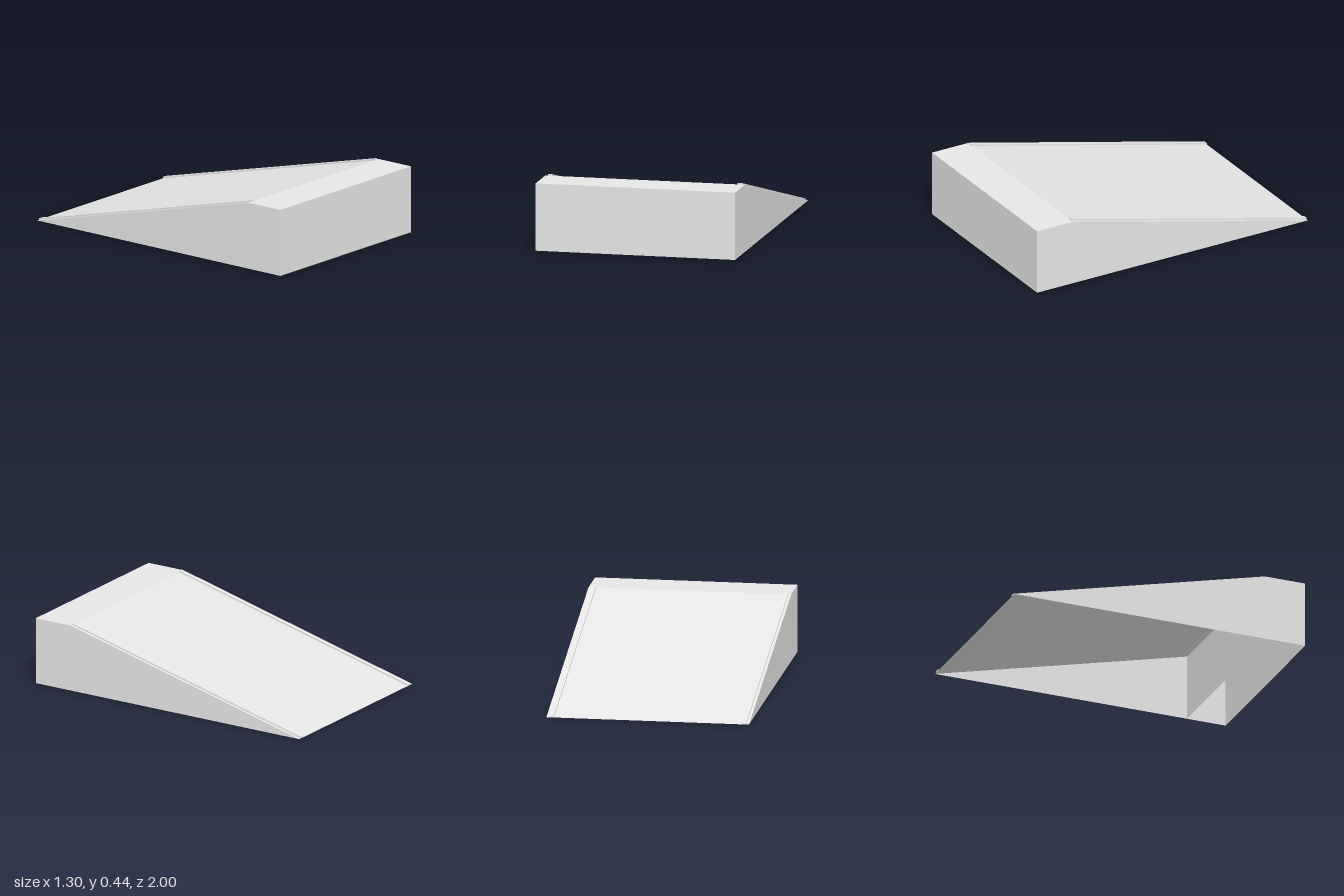
import * as THREE from 'three';

const HALF_W = 0.65, HEIGHT = 0.435, CREST_Z = 0.735;

export function createModel() {
  const model = new THREE.Group();
  model.name = 'ramp';

  const lightGrey = new THREE.MeshStandardMaterial({ color: 0xe6e6e6, side: THREE.DoubleSide });
  lightGrey.name = 'lightGrey';

  const add = (name, geometry) => {
    const mesh = new THREE.Mesh(geometry, lightGrey);
    mesh.name = name;
    model.add(mesh);
    return mesh;
  };

  // Full-width flat panel between two (z, y) points of the side profile
  const panel = (name, [z0, y0], [z1, y1]) => {
    const g = new THREE.BufferGeometry();
    g.setAttribute('position', new THREE.Float32BufferAttribute([
      -HALF_W, y0, z0, HALF_W, y0, z0, HALF_W, y1, z1, -HALF_W, y1, z1], 3));
    g.setIndex([0, 1, 2, 0, 2, 3]);
    g.computeVertexNormals();
    add(name, g);
  };

  // Hollow shell, open underneath, with an inner wall below the crest
  panel('frontWall', [1, 0], [1, HEIGHT]);
  panel('platform', [1, HEIGHT], [CREST_Z, HEIGHT]);
  panel('slope', [CREST_Z, HEIGHT], [-1, 0]);
  panel('innerWall', [CREST_Z, HEIGHT], [CREST_Z, 0]);
  model.getObjectByName('innerWall').geometry.computeVertexNormals();

  // Side profile: shape x becomes -z after turning by a quarter
  const profile = (points) => new THREE.Shape(points.map(([z, y]) => new THREE.Vector2(-z, y)));
  const sideShape = profile([[1, 0], [-1, 0], [CREST_Z, HEIGHT], [1, HEIGHT]]);

  // Low rails running up both edges of the slope
  const railHeight = 0.01, railWidth = 0.03;
  const railShape = profile([[CREST_Z, HEIGHT], [-1, 0], [-1, railHeight], [CREST_Z, HEIGHT + railHeight]]);

  for (const [label, sign] of [['left', 1], ['right', -1]]) {
    const wall = new THREE.ShapeGeometry(sideShape).rotateY(Math.PI / 2);
    if (sign < 0) { // turn the far wall outward
      const index = wall.index.array;
      for (let i = 0; i < index.length; i += 3) [index[i], index[i + 1]] = [index[i + 1], index[i]];
      wall.computeVertexNormals();
    }
    add(label + 'SideWall', wall).position.x = sign * HALF_W;

    const rail = new THREE.ExtrudeGeometry(railShape, { depth: railWidth, bevelEnabled: false });
    rail.translate(0, 0, -railWidth / 2).rotateY(Math.PI / 2);
    add(label + 'Rail', rail).position.x = sign * 0.617;
  }

  return model;
}
